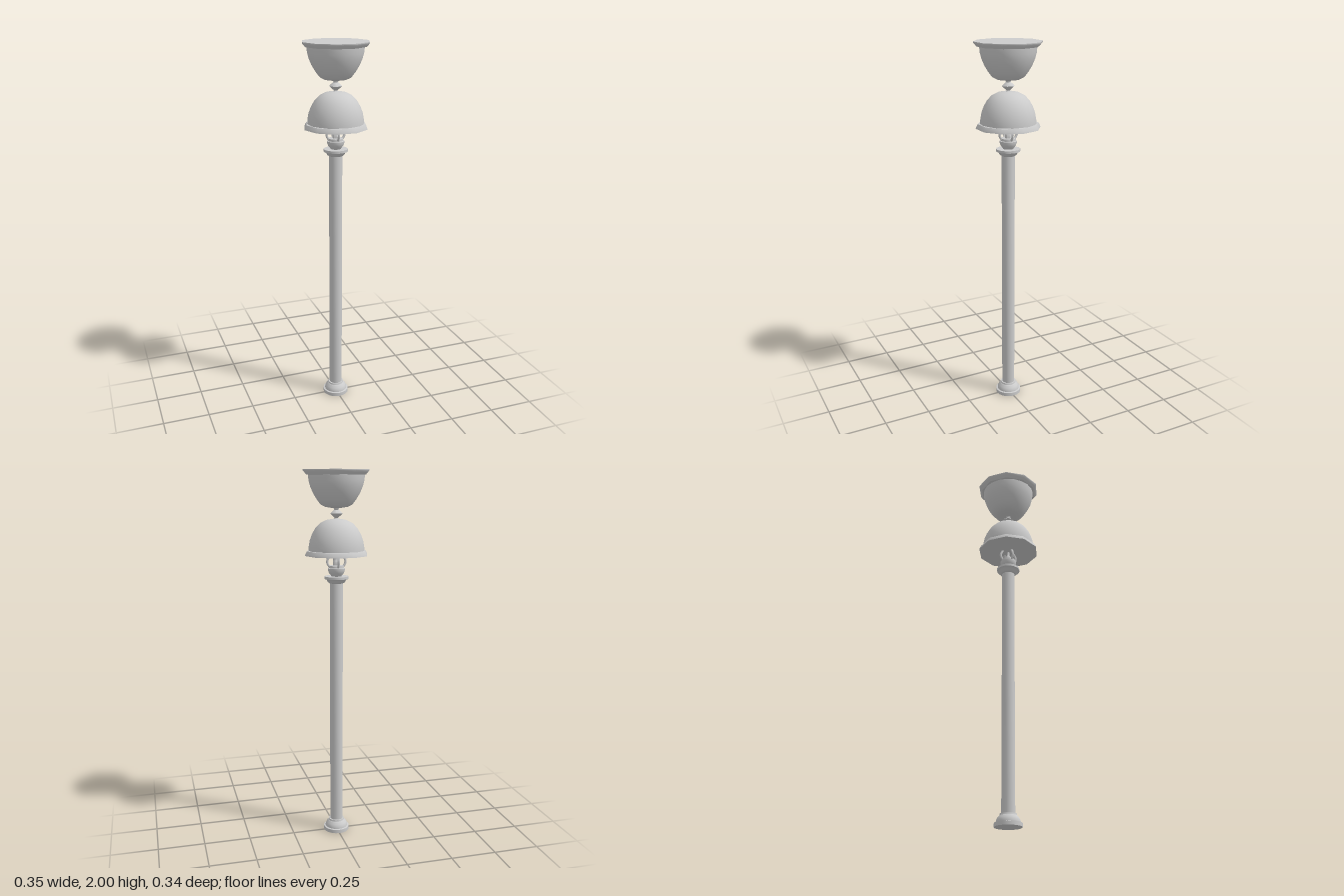
import * as THREE from 'three';
import { toCreasedNormals } from 'three/addons/utils/BufferGeometryUtils.js';

const material = new THREE.MeshStandardMaterial({ color: 0xcccccc });

// Turned part: profile of [radius, y] from bottom to top, with a corner on the x axis
function turned(name, profile, sides, crease = 0.7) {
  const points = profile.map(([r, y]) => new THREE.Vector2(r, y));
  const lathe = new THREE.LatheGeometry(points, sides);
  lathe.rotateY(Math.PI / 2);
  const mesh = new THREE.Mesh(toCreasedNormals(lathe, crease), material);
  mesh.name = name;
  return mesh;
}

export function createModel() {
  const model = new THREE.Group();
  model.name = 'streetLamp';

  // Stepped foot and plain post
  model.add(turned('base', [
    [0, 0], [0.071, 0], [0.071, 0.02], [0.062, 0.022], [0.061, 0.032],
    [0.055, 0.044], [0.046, 0.054], [0.043, 0.056], [0.042, 0.066], [0, 0.066],
  ], 20));
  model.add(turned('post', [[0.035, 0.06], [0.035, 1.425]], 16));

  // Flared collar on top of the post
  model.add(turned('collar', [
    [0, 1.415], [0.036, 1.415], [0.046, 1.421], [0.052, 1.433],
    [0.064, 1.439], [0.064, 1.452], [0, 1.452],
  ], 16));

  // Small cup that carries the claws
  model.add(turned('cup', [
    [0.026, 1.45], [0.03, 1.457], [0.04, 1.469], [0.045, 1.483],
    [0.046, 1.494], [0.04, 1.496], [0.039, 1.508], [0, 1.51],
  ], 16));
  model.add(turned('stem', [
    [0.018, 1.505], [0.018, 1.528], [0.008, 1.54], [0.008, 1.565],
  ], 8));

  // Four bowed claws that hold the lower shade
  const clawPath = new THREE.CatmullRomCurve3([
    [0.034, 1.5], [0.046, 1.515], [0.05, 1.532], [0.044, 1.548], [0.036, 1.564],
  ].map(([x, y]) => new THREE.Vector3(x, y, 0)));
  const clawGeometry = new THREE.TubeGeometry(clawPath, 8, 0.0065, 6);
  for (let i = 0; i < 4; i++) {
    const claw = new THREE.Mesh(clawGeometry, material);
    claw.name = 'claw';
    claw.rotation.y = i * Math.PI / 2;
    model.add(claw);
  }

  // Domed lower shade with a ten-sided flared rim
  model.add(turned('lowerRim', [
    [0, 1.562], [0.17, 1.562], [0.167, 1.572], [0.159, 1.586], [0.145, 1.588],
  ], 10));
  model.add(turned('lowerDome', [
    [0.147, 1.585], [0.146, 1.607], [0.14, 1.64], [0.128, 1.672], [0.11, 1.703],
    [0.085, 1.729], [0.055, 1.744], [0.025, 1.75], [0, 1.751],
  ], 20));

  // Pointed knob between the shades
  model.add(turned('knob', [
    [0.016, 1.745], [0.009, 1.756], [0.021, 1.766], [0.034, 1.778],
    [0.021, 1.79], [0.012, 1.797], [0.016, 1.808],
  ], 10));

  // Upturned upper bowl with a flat, ten-sided lid
  model.add(turned('upperBowl', [
    [0, 1.805], [0.03, 1.807], [0.06, 1.812], [0.082, 1.823], [0.103, 1.85],
    [0.122, 1.882], [0.136, 1.915], [0.144, 1.945], [0.147, 1.976],
  ], 20));
  model.add(turned('upperRim', [
    [0.14, 1.973], [0.16, 1.975], [0.168, 1.984], [0.177, 1.995], [0.177, 2], [0, 2],
  ], 10));

  return model;
}
